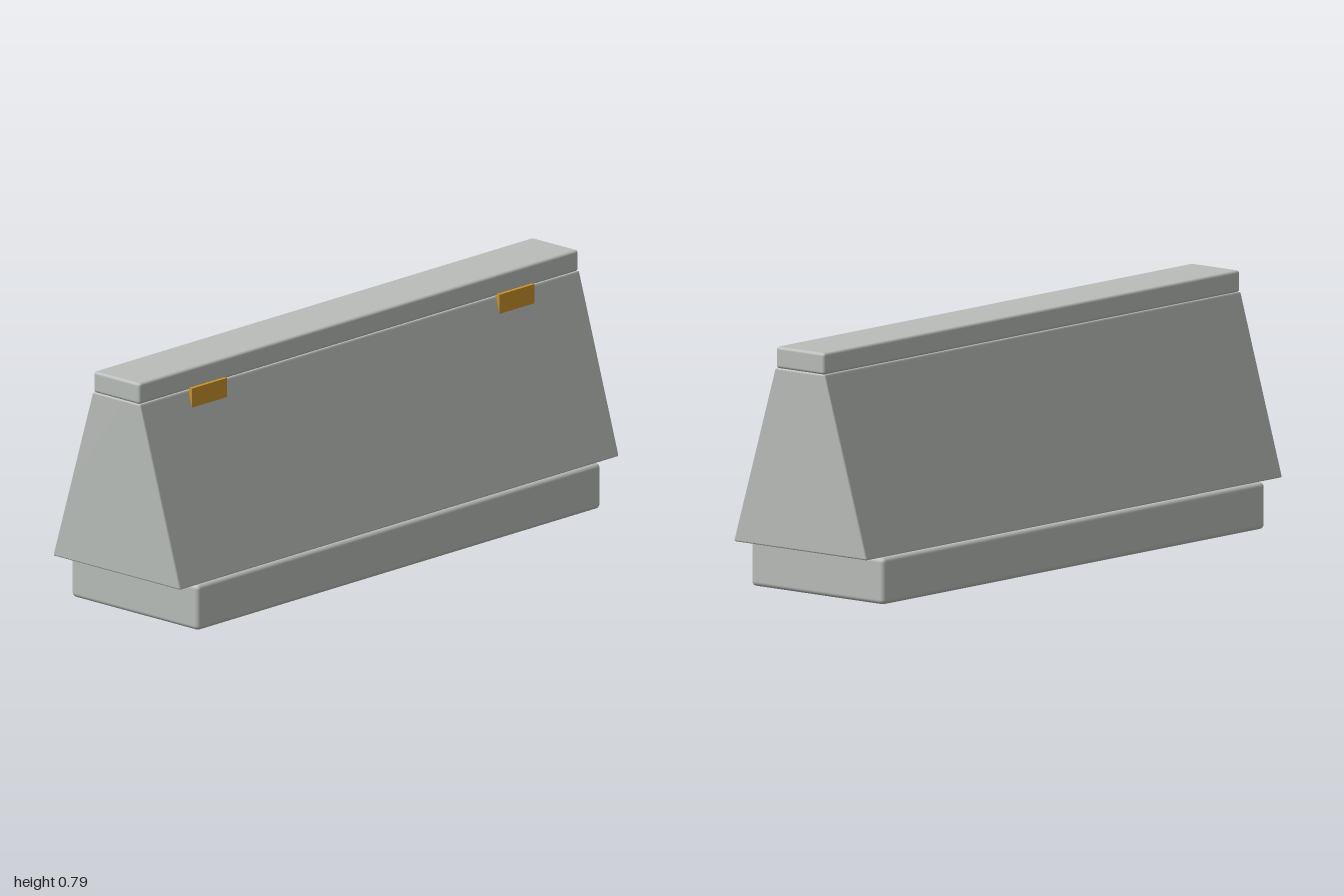
import * as THREE from 'three';
import { mergeVertices } from 'three/addons/utils/BufferGeometryUtils.js';
import { RoundedBoxGeometry } from 'three/addons/geometries/RoundedBoxGeometry.js';

const stone = new THREE.MeshStandardMaterial({ color: 0xb9bdb9 });
stone.name = 'pale grey stone';
const gold = new THREE.MeshStandardMaterial({ color: 0xc8922a });
gold.name = 'gold';

function addPart(group, name, geometry, material, x, y, z) {
  const mesh = new THREE.Mesh(geometry, material);
  mesh.name = name;
  mesh.position.set(x, y, z);
  group.add(mesh);
}

// Rounded block whose depth shrinks linearly from bottom to top
function taperedBlock(width, height, bottomDepth, topDepth, radius) {
  const box = new RoundedBoxGeometry(width, height, bottomDepth, 3, radius);
  box.deleteAttribute('normal');
  box.deleteAttribute('uv');
  const geometry = mergeVertices(box, 1e-5);
  const p = geometry.attributes.position;
  for (let i = 0; i < p.count; i++) {
    const t = p.getY(i) / height + 0.5;
    p.setZ(i, p.getZ(i) * THREE.MathUtils.lerp(1, topDepth / bottomDepth, t));
  }
  geometry.computeVertexNormals();
  return geometry;
}

export function createModel() {
  const group = new THREE.Group();
  group.name = 'barrier';

  // Recessed foot, sloped body and flat cap
  addPart(group, 'base', new RoundedBoxGeometry(1.836, 0.148, 0.548, 4, 0.015), stone, 0, 0.074, 0);
  addPart(group, 'body', taperedBlock(2, 0.57, 0.548, 0.202, 0.006), stone, 0, 0.437, 0);
  addPart(group, 'cap', new RoundedBoxGeometry(2, 0.069, 0.2, 4, 0.01), stone, 0, 0.7555, 0);

  // Small plates set into the top of the front slope
  for (const side of [1, -1]) {
    addPart(group, side > 0 ? 'leftReflector' : 'rightReflector',
      new THREE.BoxGeometry(0.16, 0.075, 0.013), gold, side * 0.7, 0.6925, 0.111);
  }
  return group;
}
